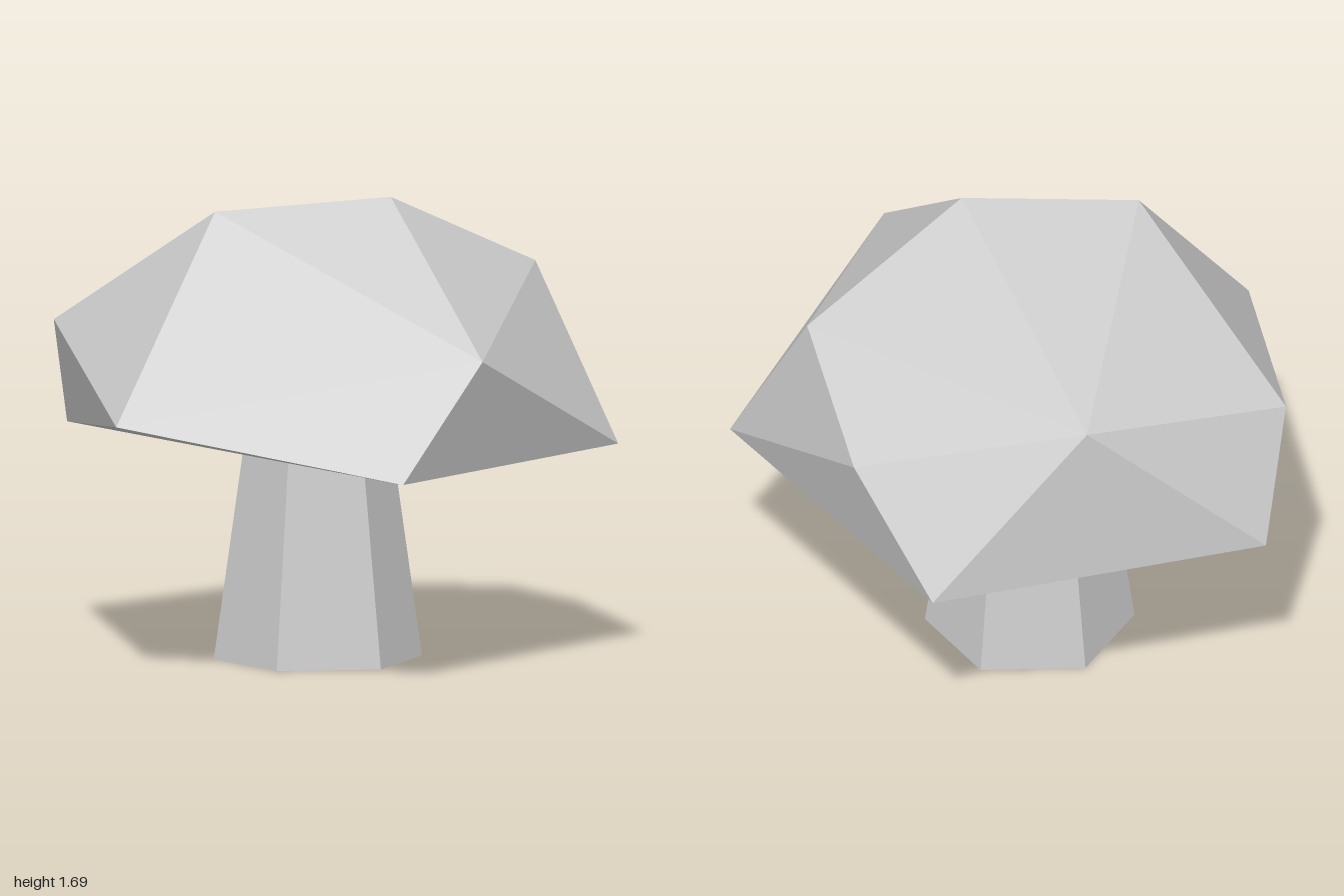
import * as THREE from 'three';
import { ConvexGeometry } from 'three/addons/geometries/ConvexGeometry.js';

export function createModel() {
  const group = new THREE.Group();
  const material = new THREE.MeshStandardMaterial({ color: 0xcccccc, flatShading: true });

  const add = (name, geometry) => {
    const mesh = new THREE.Mesh(geometry, material);
    mesh.name = name;
    group.add(mesh);
    return mesh;
  };

  // Tapered six-sided stem, its top buried slightly in the cap
  const stemHeight = 0.82;
  add('stem', new THREE.CylinderGeometry(0.26, 0.375, stemHeight, 6))
    .position.set(0.05, stemHeight / 2, 0);

  // Faceted lopsided cap: the hull of its corners
  const corners = [
    // flat underside
    [-0.32, 0.77, -1.0], [0.88, 0.77, -0.67], [0.92, 0.77, 0.63], [-0.32, 0.77, 1.0],
    // raised side corner
    [-0.98, 0.94, 0.17],
    // middle ring
    [-0.53, 1.18, -0.8], [0.98, 1.18, -0.3], [0.05, 1.18, 0.98],
    // upper ring
    [0.31, 1.37, -0.8], [0.82, 1.4, 0.27],
    // crown
    [-0.41, 1.65, 0], [0.15, 1.69, 0.3],
  ];
  add('cap', new ConvexGeometry(corners.map((c) => new THREE.Vector3(...c))));

  return group;
}
